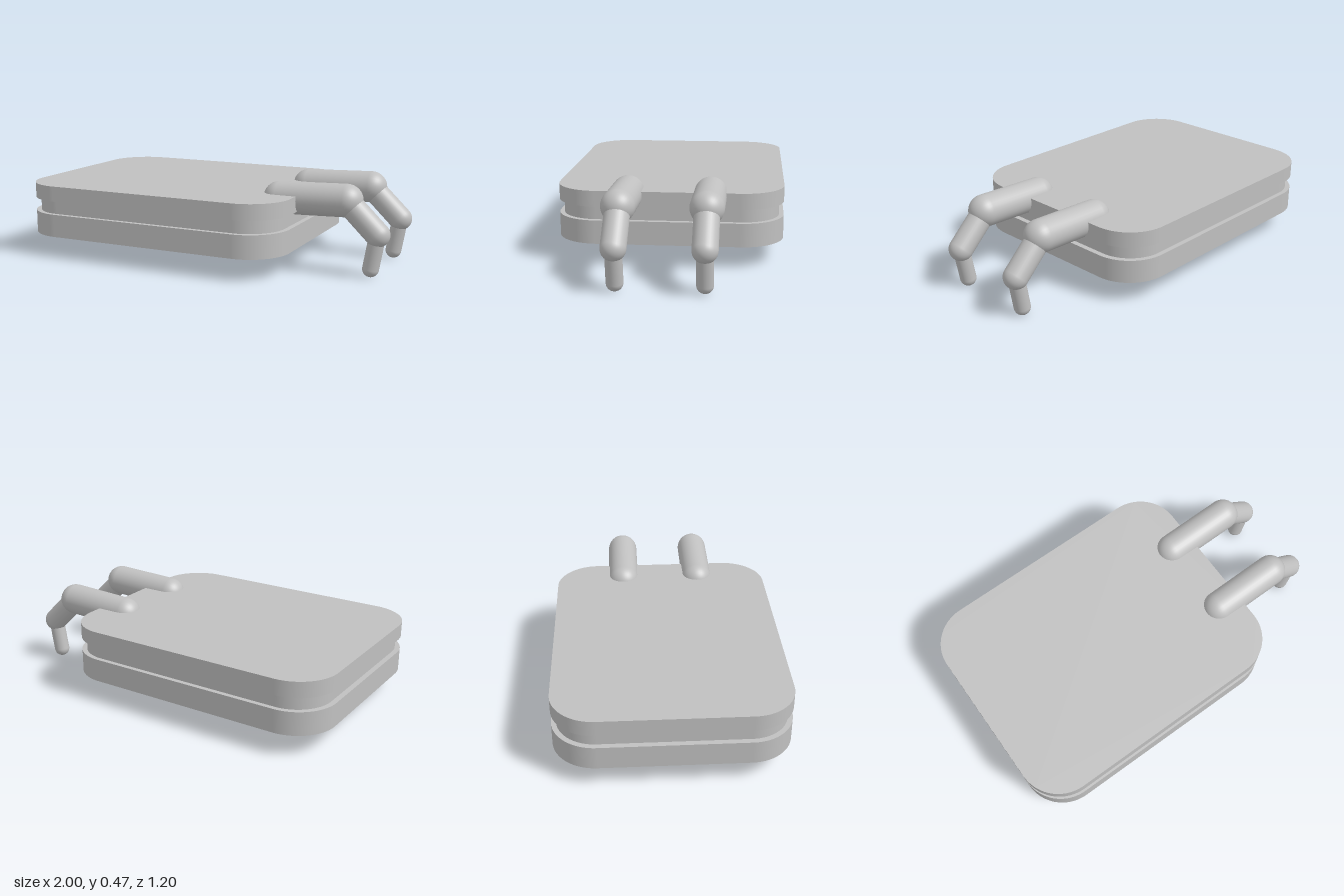
import * as THREE from 'three';

const grey = new THREE.MeshStandardMaterial({ color: 0xc0c0c0 });
grey.name = 'plain grey';

// Horizontal rounded slab between two heights, centred on x = cx
function slab(name, cx, width, depth, radius, y0, y1) {
  const a = width / 2, b = depth / 2, r = radius;
  const s = new THREE.Shape();
  s.moveTo(-a + r, -b);
  s.lineTo(a - r, -b);
  s.absarc(a - r, -b + r, r, -Math.PI / 2, 0);
  s.lineTo(a, b - r);
  s.absarc(a - r, b - r, r, 0, Math.PI / 2);
  s.lineTo(-a + r, b);
  s.absarc(-a + r, b - r, r, Math.PI / 2, Math.PI);
  s.lineTo(-a, -b + r);
  s.absarc(-a + r, -b + r, r, Math.PI, Math.PI * 1.5);
  const geo = new THREE.ExtrudeGeometry(s, { depth: y1 - y0, bevelEnabled: false, curveSegments: 20 });
  geo.rotateX(-Math.PI / 2);
  // Smooth normals around the side wall
  const p = geo.attributes.position, n = geo.attributes.normal;
  for (let i = 0; i < p.count; i++) {
    if (Math.abs(n.getY(i)) > 0.5) continue;
    const x = p.getX(i), z = p.getZ(i);
    const dx = x - THREE.MathUtils.clamp(x, -a + r, a - r);
    const dz = z - THREE.MathUtils.clamp(z, -b + r, b - r);
    const l = Math.hypot(dx, dz);
    if (l > 0) n.setXYZ(i, dx / l, 0, dz / l);
  }
  geo.translate(cx, y0, 0);
  const mesh = new THREE.Mesh(geo, grey);
  mesh.name = name;
  return mesh;
}

// Round-ended segment between two joints in the xy plane
function segment(name, from, to, radius) {
  const a = new THREE.Vector3(...from, 0), b = new THREE.Vector3(...to, 0);
  const dir = b.clone().sub(a);
  const mesh = new THREE.Mesh(new THREE.CapsuleGeometry(radius, dir.length(), 12, 32), grey);
  mesh.position.copy(a).add(b).multiplyScalar(0.5);
  mesh.quaternion.setFromUnitVectors(new THREE.Vector3(0, 1, 0), dir.normalize());
  mesh.name = name;
  return mesh;
}

export function createModel() {
  const model = new THREE.Group();
  model.name = 'grippingPlate';

  // Two plates with a recessed core between them
  model.add(
    slab('lowerPlate', -0.239, 1.522, 1.2, 0.225, 0.118, 0.243),
    slab('recessedCore', -0.239, 1.466, 1.15, 0.2, 0.243, 0.316),
    slab('upperPlate', -0.239, 1.522, 1.2, 0.225, 0.316, 0.4)
  );

  // Pair of jointed fingers hooking down past the edge
  const root = [0.402, 0.373], knuckle = [0.768, 0.386], elbow = [0.936, 0.223], tip = [0.905, 0.043];
  for (const side of [1, -1]) {
    const finger = new THREE.Group();
    finger.name = side > 0 ? 'frontFinger' : 'backFinger';
    finger.position.z = side * 0.217;
    finger.add(
      segment('fingerBase', root, knuckle, 0.086),
      segment('fingerMiddle', knuckle, elbow, 0.064),
      segment('fingerTip', elbow, tip, 0.043)
    );
    model.add(finger);
  }
  return model;
}
